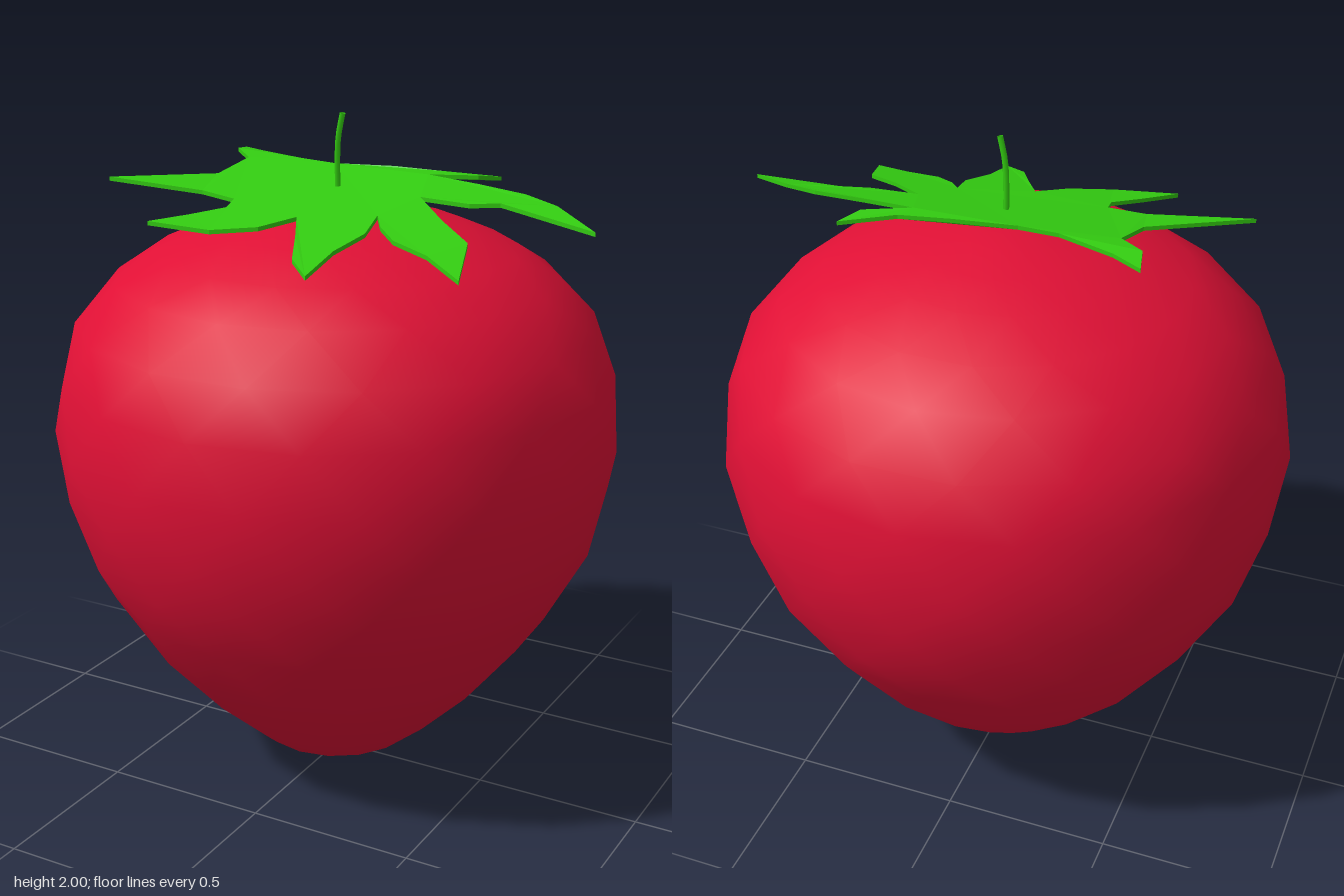
import * as THREE from 'three';

const RED = new THREE.MeshStandardMaterial({ color: 0xe01035 });
const GREEN = new THREE.MeshStandardMaterial({ color: 0x33cc11, side: THREE.DoubleSide });

// Fruit: 16-sided rings, every second one turned half a step, giving diamond facets
function fruitGeometry() {
  const sides = 16;
  const rings = [ // height, radius
    [0.01, 0.07], [0.03, 0.14], [0.08, 0.24], [0.16, 0.335], [0.26, 0.44], [0.4, 0.565],
    [0.58, 0.685], [0.74, 0.77], [0.9, 0.81], [1.07, 0.838], [1.25, 0.815], [1.4, 0.765],
    [1.53, 0.65], [1.61, 0.53], [1.675, 0.38], [1.71, 0.25], [1.735, 0.12],
  ];
  const pos = [], index = [];
  rings.forEach(([y, r], i) => {
    for (let k = 0; k < sides; k++) {
      const a = ((k + (i % 2) / 2) / sides) * Math.PI * 2;
      pos.push(Math.sin(a) * r, y, Math.cos(a) * r);
    }
  });
  const bottom = pos.length / 3, top = bottom + 1;
  pos.push(0, 0, 0, 0, 1.745, 0);
  const last = rings.length - 1;
  for (let k = 0; k < sides; k++) {
    const n = (k + 1) % sides;
    index.push(bottom, n, k, top, last * sides + k, last * sides + n);
    for (let i = 0; i < last; i++) {
      const a = i * sides + k, b = i * sides + n, c = a + sides, d = b + sides;
      if (i % 2) index.push(a, b, d, a, d, c);
      else index.push(a, b, c, b, d, c);
    }
  }
  const g = new THREE.BufferGeometry();
  g.setAttribute('position', new THREE.Float32BufferAttribute(pos, 3));
  g.setIndex(index);
  g.computeVertexNormals();
  return g;
}

// Leaf crown: thin outline of pointed leaves (x, z), draped over the top
function crownGeometry() {
  const outline = [
    [-0.46, -0.25], [-0.37, -0.2], [-0.2, -0.14], [-0.08, -0.13], [0.1, -0.16], [0.25, -0.18],
    [0.4, -0.25], [0.36, -0.18], [0.23, -0.12], [0.4, -0.1], [0.55, -0.08], [0.66, -0.04],
    [0.81, 0.06], [0.51, 0], [0.43, 0.03], [0.28, 0.03], [0.4, 0.14], [0.52, 0.23],
    [0.58, 0.41], [0.45, 0.33], [0.33, 0.29], [0.26, 0.23], [0.22, 0.17], [0.24, 0.28],
    [0.21, 0.4], [0.21, 0.55], [0.13, 0.48], [0.07, 0.36], [0.01, 0.25], [-0.06, 0.34],
    [-0.18, 0.4], [-0.37, 0.42], [-0.29, 0.33], [-0.22, 0.25], [-0.23, 0.19], [-0.35, 0.17],
    [-0.65, 0.21], [-0.38, 0.04], [-0.36, -0.1], [-0.44, -0.17],
  ];
  const shape = new THREE.Shape(outline.map(([x, z]) => new THREE.Vector2(x, -z)));
  const g = new THREE.ExtrudeGeometry(shape, { depth: 0.012, bevelEnabled: false });
  g.rotateX(-Math.PI / 2);
  const p = g.attributes.position;
  for (let i = 0; i < p.count; i++) {
    const x = p.getX(i), z = p.getZ(i);
    const slope = 1.785 - 0.22 * z - 0.05 * x * Math.abs(x);
    const backCurl = 0.35 * Math.max(0, -z - 0.15);
    const sideDroop = x > 0 ? 0.12 * x * Math.max(0, z) : -0.2 * x * x * Math.max(0, z);
    p.setY(i, p.getY(i) + slope - backCurl - sideDroop);
  }
  g.computeVertexNormals();
  return g;
}

// Stem: thin, slightly bent stalk
function stemGeometry() {
  const path = new THREE.CatmullRomCurve3([
    new THREE.Vector3(0.01, 1.72, 0.012), new THREE.Vector3(0.012, 1.85, 0.022),
    new THREE.Vector3(0.018, 1.93, 0.028), new THREE.Vector3(0.033, 2.0, 0.03),
  ]);
  return new THREE.TubeGeometry(path, 10, 0.009, 6, false);
}

export function createModel() {
  const model = new THREE.Group();
  model.name = 'strawberry';
  const add = (name, geometry, material) => {
    const mesh = new THREE.Mesh(geometry, material);
    mesh.name = name;
    model.add(mesh);
  };
  add('fruit', fruitGeometry(), RED);
  add('leafCrown', crownGeometry(), GREEN);
  add('stem', stemGeometry(), GREEN);
  return model;
}
